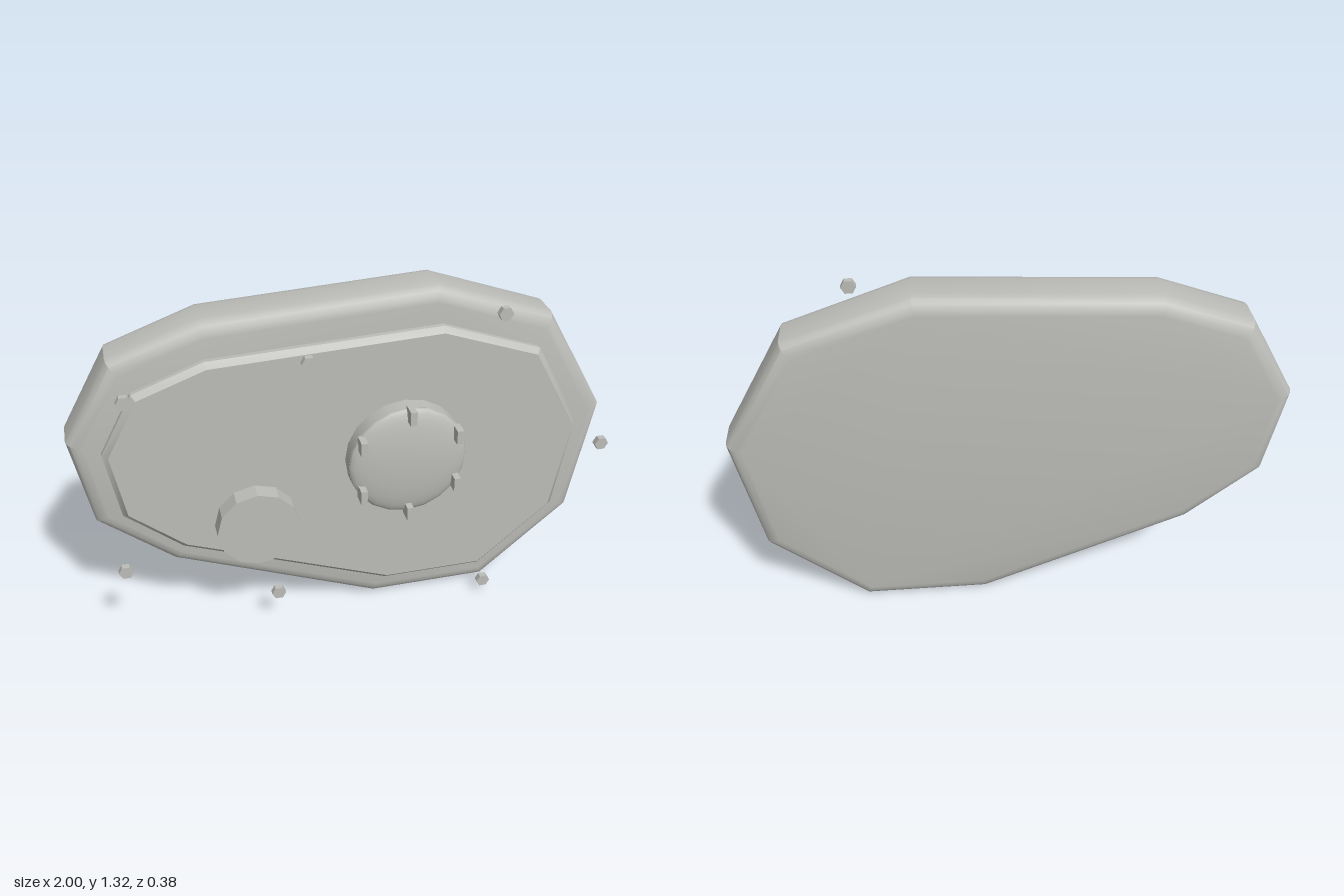
import * as THREE from 'three';
import { toCreasedNormals } from 'three/addons/utils/BufferGeometryUtils.js';

const metal = new THREE.MeshStandardMaterial({ color: 0xbcbcb8 });
metal.name = 'grey metal';

// Bevelled slab whose widest outline is the given polygon
function slab(points, back, front, bevel, steps) {
  const shape = new THREE.Shape(points.map(([x, y]) => new THREE.Vector2(x, y)));
  const geo = new THREE.ExtrudeGeometry(shape, {
    depth: front - back - 2 * bevel,
    bevelThickness: bevel,
    bevelSize: bevel,
    bevelOffset: -bevel,
    bevelSegments: steps,
  });
  geo.translate(0, 0, back + bevel);
  return toCreasedNormals(geo, 0.5);
}

// Cylinder lying along z
function disc(radius, sides, back, front, turn = 0) {
  const geo = new THREE.CylinderGeometry(radius, radius, front - back, sides);
  geo.rotateX(Math.PI / 2).rotateZ(turn).translate(0, 0, (back + front) / 2);
  return geo;
}

export function createModel() {
  const group = new THREE.Group();
  const add = (name, geo, x = 0, y = 0) => {
    const mesh = new THREE.Mesh(geo, metal);
    mesh.name = name;
    mesh.position.set(x, y, 0);
    group.add(mesh);
  };

  // Thick rounded casing
  add('casing', slab([
    [-1, 0.87], [-0.94, 0.535], [-0.675, 0.315], [0.095, 0.003], [0.56, 0.003], [0.91, 0.305],
    [0.993, 0.76], [0.76, 1.165], [0.32, 1.322], [-0.51, 1.28], [-0.83, 1.165],
  ], -0.187, 0.02, 0.055, 4));

  // Thin cover plate on the front
  add('coverPlate', slab([
    [-0.883, 0.85], [-0.84, 0.59], [-0.64, 0.42], [0.13, 0.122], [0.518, 0.122], [0.805, 0.37],
    [0.868, 0.745], [0.69, 1.068], [0.325, 1.198], [-0.51, 1.162], [-0.762, 1.07],
  ], 0.02, 0.078, 0.02, 1));

  // Plain round boss
  add('boss', toCreasedNormals(disc(0.152, 12, 0.07, 0.145), 0.4), -0.37, 0.505);

  // Domed cap with six tabs round its rim
  const cx = 0.185, cy = 0.714;
  add('capRim', disc(0.22, 20, 0.07, 0.134), cx, cy);
  const dome = new THREE.SphereGeometry(0.22, 20, 8, 0, Math.PI * 2, 0, Math.PI / 2);
  dome.scale(1, 0.04 / 0.22, 1).rotateX(Math.PI / 2).translate(0, 0, 0.133);
  add('capDome', dome, cx, cy);
  for (let i = 0; i < 6; i++) {
    const a = Math.PI / 6 + i * Math.PI / 3;
    const tab = new THREE.BoxGeometry(0.024, 0.054, 0.056).translate(0, 0, 0.162);
    add('capTab', tab, cx + 0.203 * Math.cos(a), cy + 0.203 * Math.sin(a));
  }

  // Hexagonal bolt heads
  const bolts = [
    [-0.787, 1.062], [-0.163, 1.13], [0.533, 1.235], [0.97, 0.643],
    [0.533, 0.053], [-0.302, 0.157], [-0.857, 0.365],
  ];
  for (const [x, y] of bolts) {
    add('bolt', toCreasedNormals(disc(0.027, 6, 0.077, 0.1, Math.PI / 6), 0.4), x, y);
  }
  return group;
}
